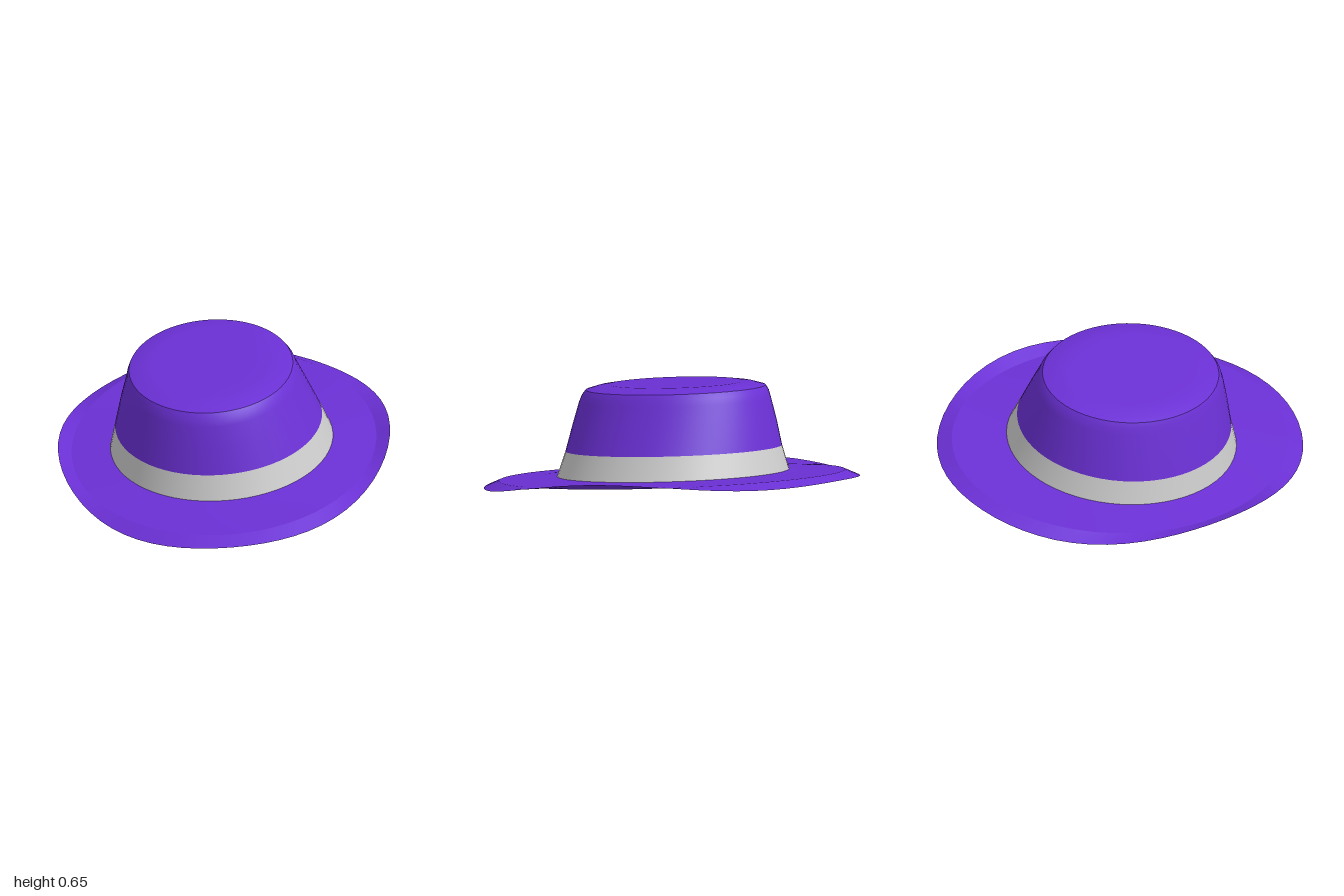
import * as THREE from 'three';

const SEG = 64;

// A tilted elliptical ring: centre, radii, height at the axis, slopes along x and z,
// plus optional side lift (at the +-x sides) and diagonal dip for the curled brim.
function ring({ cx = 0, cz = 0, rx, rz, y, sx = 0.068, sz = -0.08, lift = 0, dip = 0 }) {
  const points = [];
  for (let i = 0; i < SEG; i++) {
    const a = (i / SEG) * Math.PI * 2;
    const c = Math.cos(a);
    const x = cx + rx * c;
    const z = cz + rz * Math.sin(a);
    const curl = lift * c * c - dip * Math.sin(2 * a) ** 2;
    points.push(new THREE.Vector3(x, y + sx * x + sz * z + curl, z));
  }
  return points;
}

// Joins successive rings into one smooth closed strip.
function loft(name, specs, material) {
  const points = specs.flatMap(ring);
  const index = [];
  for (let j = 0; j < specs.length - 1; j++) {
    for (let i = 0; i < SEG; i++) {
      const n = (i + 1) % SEG;
      const a = j * SEG + i, b = j * SEG + n;
      const c = a + SEG, d = b + SEG;
      index.push(a, c, b, b, c, d);
    }
  }
  const geometry = new THREE.BufferGeometry().setFromPoints(points);
  geometry.setIndex(index);
  geometry.computeVertexNormals();
  const mesh = new THREE.Mesh(geometry, material);
  mesh.name = name;
  return mesh;
}

export function createModel() {
  const felt = new THREE.MeshStandardMaterial({ color: 0x6b30d5, side: THREE.DoubleSide });
  const ribbon = new THREE.MeshStandardMaterial({ color: 0xcccccc, side: THREE.DoubleSide });

  // Key rings from the brim edge up to the crown top
  const edge = { rx: 0.855, rz: 1, y: 0.108, sx: 0.07, sz: -0.0875, lift: 0.052, dip: 0.03 };
  const crease = { rx: 0.785, rz: 0.92, y: 0.137, sx: 0.07, sz: -0.0875, lift: -0.007 };
  const midBrim = { cx: -0.006, rx: 0.68, rz: 0.76, y: 0.139, sx: 0.07, sz: -0.084 };
  const bandBottom = { cx: -0.012, rx: 0.573, rz: 0.605, y: 0.148 };
  const bandTop = { cx: -0.028, cz: 0.005, rx: 0.533, rz: 0.565, y: 0.275, sx: 0.07, sz: -0.077 };
  const shoulder = { cx: -0.06, cz: 0.015, rx: 0.447, rz: 0.507, y: 0.525, sx: 0.067, sz: -0.077 };
  const rim = { cx: -0.068, cz: 0.015, rx: 0.422, rz: 0.475, y: 0.588, sx: 0.062, sz: -0.077 };

  // Scaled copy of the rim, raised, for the shallow dome
  const dome = (s, h) => ({ ...rim, rx: rim.rx * s, rz: rim.rz * s, y: rim.y + h });

  const hat = new THREE.Group();
  hat.name = 'hat';
  hat.add(
    // Curled edge turns down at front and back, up at the sides
    loft('brimEdge', [edge, crease], felt),
    loft('brim', [crease, midBrim, bandBottom], felt),
    loft('hatBand', [bandBottom, bandTop], ribbon),
    loft('crownWall', [
      bandTop,
      { cx: -0.046, cz: 0.01, rx: 0.488, rz: 0.536, y: 0.41, sx: 0.068, sz: -0.077 },
      shoulder,
      { cx: -0.064, cz: 0.015, rx: 0.436, rz: 0.494, y: 0.562, sx: 0.064, sz: -0.077 },
      rim,
    ], felt),
    loft('crownTop', [rim, dome(0.88, 0.016), dome(0.74, 0.025), dome(0.4, 0.024), dome(0.001, 0.022)], felt),
  );
  return hat;
}
